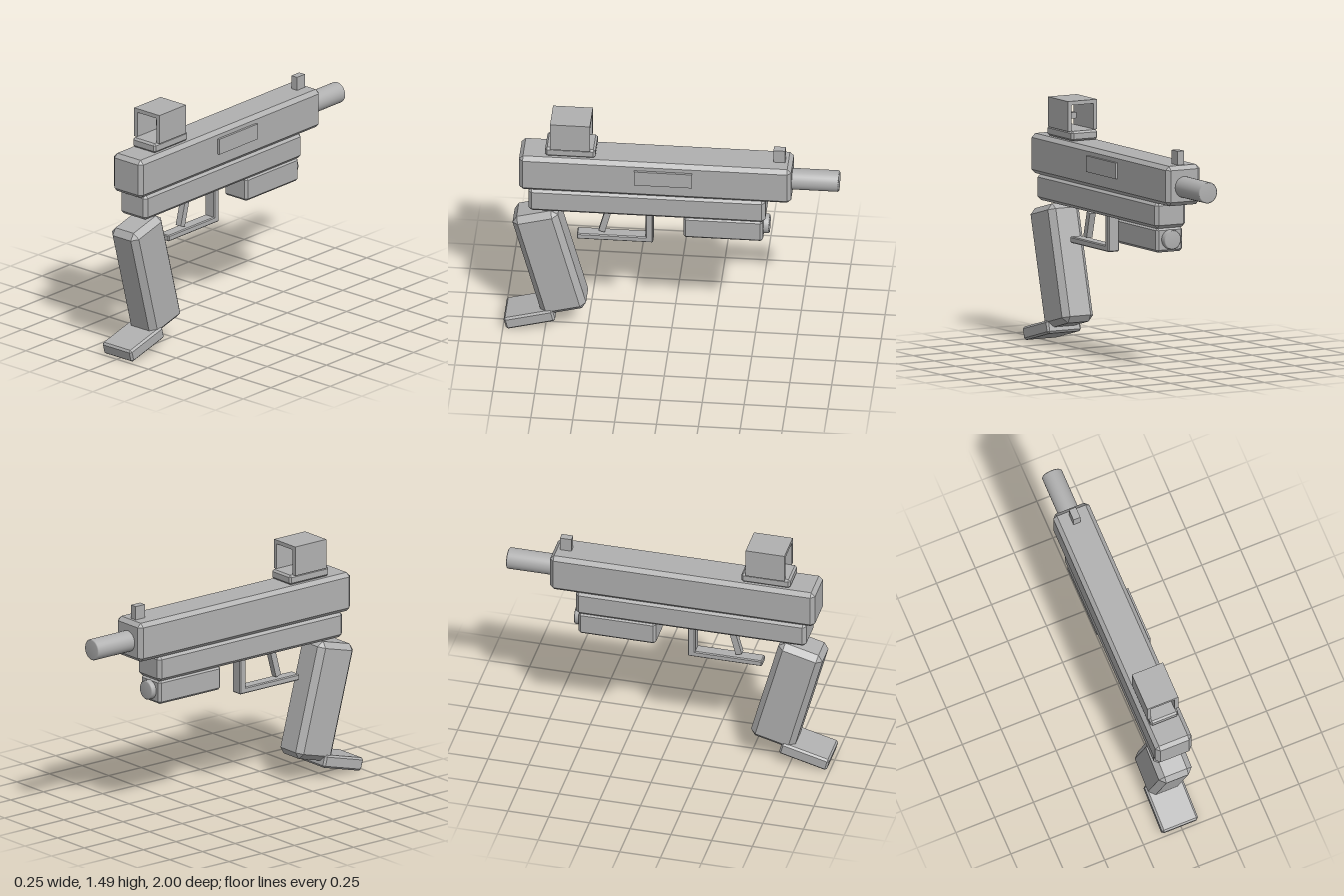
import * as THREE from 'three';
import { ConvexGeometry } from 'three/addons/geometries/ConvexGeometry.js';

const CX = -0.009; // x of the centre plane shared by most parts
const TILT = THREE.MathUtils.degToRad(15);

export function createModel() {
  const model = new THREE.Group();
  model.name = 'compactBlaster';
  const grey = new THREE.MeshStandardMaterial({ color: 0xb0b0b0 });
  grey.name = 'plain grey';

  const add = (name, geometry, x, y, z, tilt = 0) => {
    const mesh = new THREE.Mesh(geometry, grey);
    mesh.name = name;
    mesh.position.set(x, y, z);
    mesh.rotation.x = tilt;
    model.add(mesh);
    return mesh;
  };

  // Box with every edge chamfered by c
  const chamferBox = (w, h, d, c) => {
    const points = [];
    for (const sx of [-1, 1]) for (const sy of [-1, 1]) for (const sz of [-1, 1]) {
      const x = sx * w / 2, y = sy * h / 2, z = sz * d / 2;
      points.push(
        new THREE.Vector3(x, y - sy * c, z - sz * c),
        new THREE.Vector3(x - sx * c, y, z - sz * c),
        new THREE.Vector3(x - sx * c, y - sy * c, z));
    }
    return new ConvexGeometry(points);
  };

  // Box given by its ranges in y and z, centred across the width
  const block = (name, w, y0, y1, z0, z1, c) =>
    add(name, chamferBox(w, y1 - y0, z1 - z0, c), CX, (y0 + y1) / 2, (z0 + z1) / 2);

  // Softly shaded round rod along z
  const rod = (name, r, y, z0, z1) => {
    const h = (z1 - z0) / 2, b = 0.006;
    const profile = [[0, -h], [r - b, -h], [r, -h + b], [r, h - b], [r - b, h], [0, h]]
      .map(([x, v]) => new THREE.Vector2(x, v));
    return add(name, new THREE.LatheGeometry(profile, 32).rotateX(Math.PI / 2), CX, y, (z0 + z1) / 2);
  };

  // Body and barrel
  block('receiver', 0.232, 1.02, 1.26, -0.72, 0.905, 0.024);
  block('lowerFrame', 0.21, 0.865, 1.025, -0.565, 0.85, 0.021);
  rod('barrel', 0.064, 1.132, -1, -0.7);
  add('ejectionPort', new THREE.BoxGeometry(0.03, 0.097, 0.345), 0.107, 1.163, 0.042);

  // Lamp under the front
  block('lampHousing', 0.18, 0.72, 0.868, -0.55, -0.075, 0.015);
  rod('lampLens', 0.058, 0.797, -0.585, -0.53);

  // Trigger and its guard
  block('guardPost', 0.075, 0.655, 0.87, 0.11, 0.155, 0.006);
  block('guardBar', 0.075, 0.637, 0.675, 0.11, 0.565, 0.006);
  add('trigger', new THREE.BoxGeometry(0.04, 0.157, 0.038), CX, 0.765, 0.398, -TILT + 2 * TILT * 1 - 2 * TILT);

  // Raked grip and its foot
  add('grip', chamferBox(0.212, 0.72, 0.28, 0.035), CX, 0.481, 0.726, TILT);
  add('gripFoot', chamferBox(0.232, 0.08, 0.303, 0.012), CX, 0.082, 0.842, TILT);

  // Hooded rear sight: an arch open along z, with an aiming block inside
  block('sightBase', 0.18, 1.263, 1.322, 0.45, 0.75, 0.012);
  const hood = new THREE.Shape([[-0.1, 0], [-0.1, 0.18], [0.1, 0.18], [0.1, 0],
    [0.076, 0], [0.076, 0.156], [-0.076, 0.156], [-0.076, 0]].map(([x, y]) => new THREE.Vector2(x, y)));
  add('sightHood', new THREE.ExtrudeGeometry(hood, { depth: 0.238, bevelEnabled: false }), CX, 1.32, 0.481);
  add('aimingBlock', new THREE.BoxGeometry(0.036, 0.036, 0.036), CX, 1.397, 0.6);

  // Front sight
  add('frontSight', new THREE.BoxGeometry(0.045, 0.09, 0.07), CX, 1.298, -0.643);

  return model;
}
